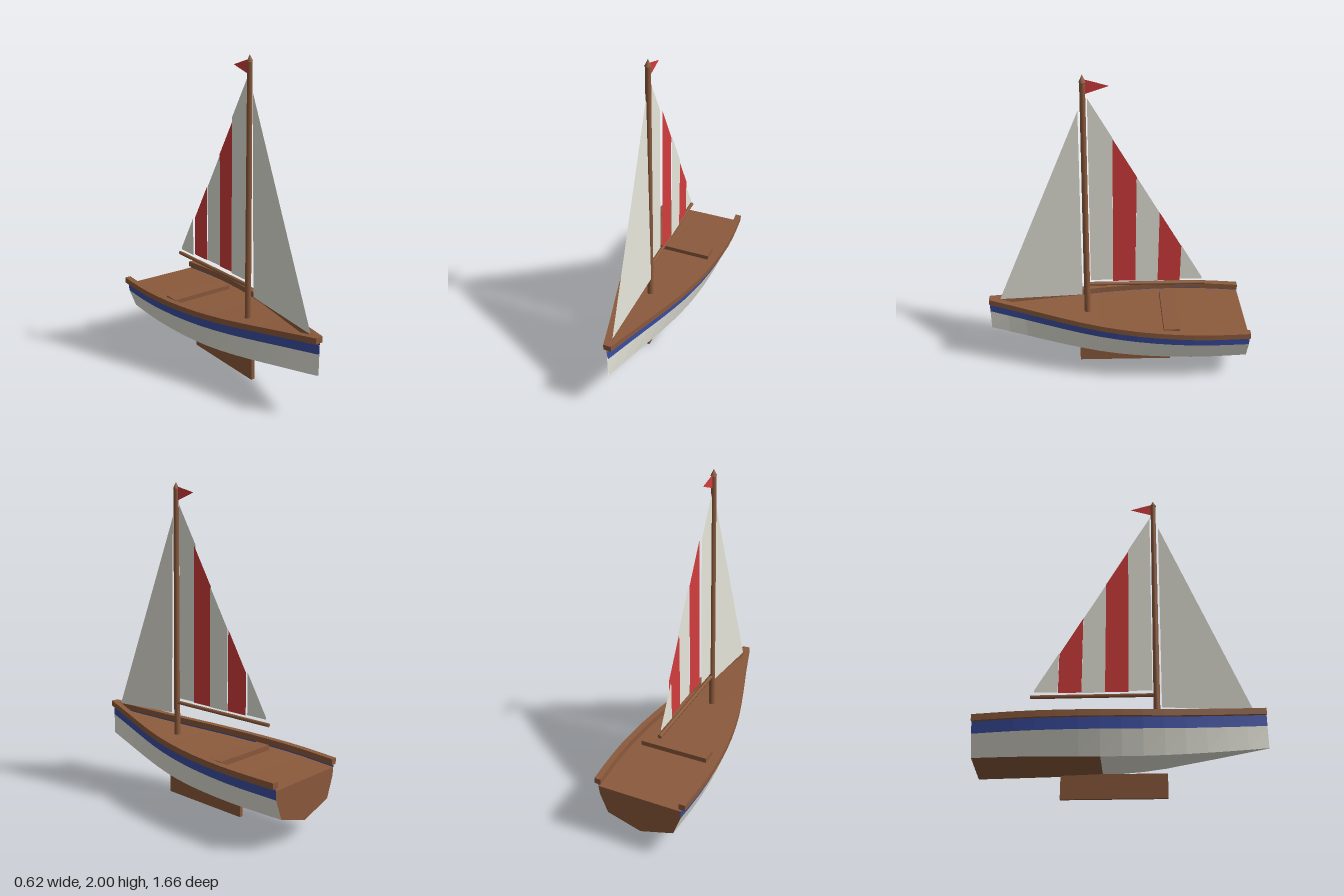
import * as THREE from 'three';

const flat = (color, name) => {
  const m = new THREE.MeshStandardMaterial({ color, side: THREE.DoubleSide });
  m.name = name;
  return m;
};

export function createModel() {
  const wood = flat(0x8b5a3c, 'wood');
  const cream = flat(0xf0efe4, 'cream');
  const blue = flat(0x3b4fa3, 'blue');
  const red = flat(0xd23c3c, 'red');

  const boat = new THREE.Group();
  boat.name = 'sailboat';
  const add = (name, geometry, material, x = 0, y = 0, z = 0) => {
    const mesh = new THREE.Mesh(geometry, material);
    mesh.name = name;
    mesh.position.set(x, y, z);
    boat.add(mesh);
    return mesh;
  };

  // Flat-shaded surface from a list of triangles (each three [x, y, z] corners)
  const faces = (tris) => {
    const g = new THREE.BufferGeometry();
    g.setAttribute('position', new THREE.Float32BufferAttribute(tris.flat(2), 3));
    g.computeVertexNormals();
    return g;
  };
  const quad = (a, b, c, d) => [[a, b, c], [a, c, d]];

  // Hull lines, as smooth curves of z running from bow to stern
  const line = (points) => {
    const curve = new THREE.SplineCurve(points.map(([z, v]) => new THREE.Vector2(z, v)));
    const samples = curve.getPoints(200);
    return (z) => {
      let i = 1;
      while (i < 200 && samples[i].x > z) i++;
      const a = samples[i - 1], b = samples[i];
      return a.y + (b.y - a.y) * (z - a.x) / (b.x - a.x);
    };
  };
  const halfWidth = line([[0.83, 0.004], [0.6, 0.07], [0.35, 0.146], [0.1, 0.215],
    [-0.15, 0.262], [-0.4, 0.285], [-0.6, 0.286], [-0.83, 0.27]]);
  const sheer = line([[0.83, 0.497], [0.5, 0.463], [0.2, 0.436], [-0.2, 0.415], [-0.83, 0.397]]);
  const chine = line([[0.83, 0.28], [0.6, 0.25], [0.245, 0.21], [-0.115, 0.19], [-0.83, 0.188]]);
  const keelLine = line([[0.83, 0.279], [0.6, 0.247], [0.245, 0.17], [-0.115, 0.138], [-0.83, 0.122]]);

  const SEG = 14, MID = 8;
  const stationZ = (i) => 0.83 - (1.66 * i) / SEG;
  const sheerAt = (z) => [halfWidth(z), sheer(z), z];
  const stripeAt = (z) => [halfWidth(z) * 0.965, sheer(z) - 0.085, z];
  const chineAt = (z) => [halfWidth(z) * 0.79, chine(z), z];
  const keelAt = (z) => [0, keelLine(z), z];
  const deckAt = (z) => [halfWidth(z) * 0.985, sheer(z) - 0.032, z];
  const mirror = ([x, y, z]) => [-x, y, z];

  // Planking between an upper and a lower line, mirrored to both sides
  const planking = (upper, lower, from = 0, to = SEG) => {
    const tris = [];
    for (let i = from; i < to; i++) {
      const z0 = stationZ(i), z1 = stationZ(i + 1);
      const q = [lower(z0), lower(z1), upper(z1), upper(z0)];
      tris.push(...quad(...q), ...quad(...q.map(mirror).reverse()));
    }
    return faces(tris);
  };
  add('hullStripe', planking(sheerAt, stripeAt), blue);
  add('hullSides', planking(stripeAt, chineAt), cream);
  add('forwardBottom', planking(chineAt, keelAt, 0, MID), cream);
  add('aftBottom', planking(chineAt, keelAt, MID, SEG), wood);

  // Deck
  const deck = [];
  for (let i = 0; i < SEG; i++) {
    const a = deckAt(stationZ(i)), b = deckAt(stationZ(i + 1));
    deck.push(...quad(a, b, mirror(b), mirror(a)));
  }
  add('deck', faces(deck), wood);

  // Transom
  const sternZ = stationZ(SEG);
  const rim = [deckAt, stripeAt, chineAt].map((f) => f(sternZ));
  const outline = [...rim, keelAt(sternZ), ...rim.map(mirror).reverse()];
  const transom = [];
  for (let i = 1; i < outline.length - 1; i++) transom.push([outline[0], outline[i], outline[i + 1]]);
  add('transom', faces(transom), wood);

  // Gunwale rails, a rectangular section swept along the sheer
  const railSection = (z) => [[-1, -1], [1, -1], [1, 1], [-1, 1]]
    .map(([u, v]) => [halfWidth(z) + u * 0.02, sheer(z) + v * 0.0185, z]);
  const rail = [];
  for (let i = 0; i < SEG; i++) {
    const a = railSection(stationZ(i)), b = railSection(stationZ(i + 1));
    for (let k = 0; k < 4; k++) {
      const n = (k + 1) % 4;
      rail.push(...quad(a[k], a[n], b[n], b[k]));
    }
  }
  rail.push(...quad(...railSection(0.83).reverse()), ...quad(...railSection(sternZ)));
  // Corner order is reversed so the faces point outward
  const leftRail = rail.map((t) => [...t].reverse());
  add('leftRail', faces(leftRail), wood);
  add('rightRail', faces(leftRail.map((t) => t.map(mirror).reverse())), wood);

  // Bench and keel fin
  add('bench', new THREE.BoxGeometry(0.44, 0.035, 0.1), wood, 0, 0.391, -0.34);
  add('keelFin', new THREE.BoxGeometry(0.024, 0.14, 0.61), wood, 0, 0.07, -0.055);

  // Mast, pointed cap and boom
  const MAST_Z = 0.195;
  add('mast', new THREE.CylinderGeometry(0.016, 0.02, 1.57, 10), wood, 0, 1.185, MAST_Z);
  add('mastCap', new THREE.ConeGeometry(0.02, 0.04, 10), wood, 0, 1.98, MAST_Z);
  add('boom', new THREE.CylinderGeometry(0.012, 0.012, 0.755, 8), wood, 0, 0.616, -0.183)
    .rotation.x = Math.PI / 2;

  // Mainsail: five upright panels, bellied slightly to the left
  const luff = 0.17, foot = 0.645, panelWidth = 0.142;
  const leech = (z) => 1.865 - (luff - z) * 1.7;
  for (let i = 0; i < 5; i++) {
    const z0 = luff - i * panelWidth, z1 = z0 - panelWidth;
    const x = 0.02 * Math.sin((Math.PI * i) / 4);
    const panel = quad([x, foot, z0], [x, foot, z1], [x, leech(z1), z1], [x, leech(z0), z0]);
    add('mainsailPanel' + (i + 1), faces(panel), i % 2 ? red : cream);
  }

  // Jib and pennant
  add('jib', faces([[[0, 0.505, 0.76], [0.018, 0.545, 0.225], [0, 1.79, 0.225]]]), cream);
  add('pennant', faces([[[0, 1.89, 0.18], [0, 1.935, 0.045], [0, 1.972, 0.18]]]), red);

  return boat;
}
